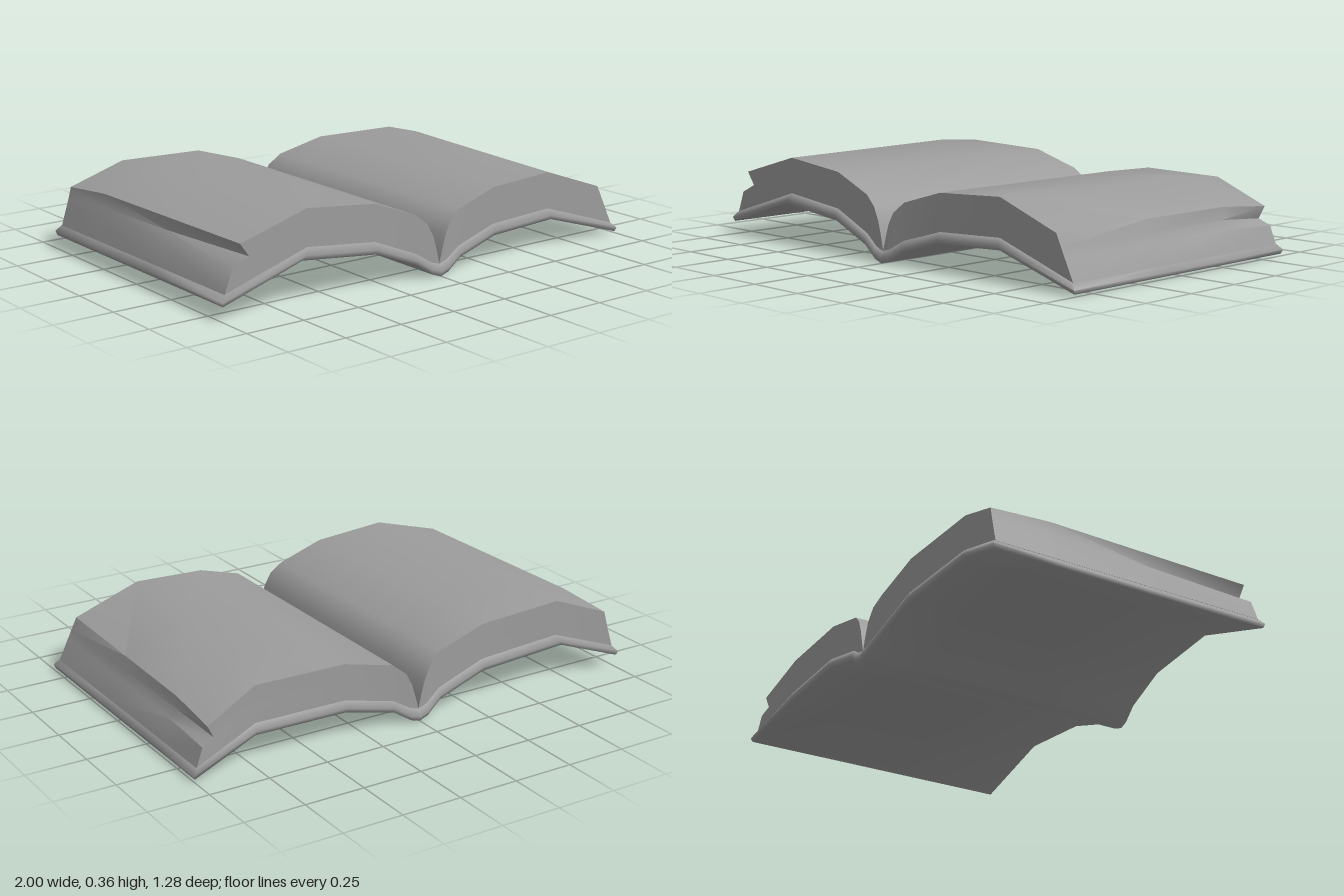
import * as THREE from 'three';
import { toCreasedNormals } from 'three/addons/utils/BufferGeometryUtils.js';

const lerp = THREE.MathUtils.lerp;

// piecewise-linear lookup through [x, value] pairs
function interp(pairs, x) {
  for (let i = 1; i < pairs.length; i++) {
    const [x0, y0] = pairs[i - 1], [x1, y1] = pairs[i];
    if (x <= x1) return lerp(y0, y1, (x - x0) / (x1 - x0));
  }
  return pairs[pairs.length - 1][1];
}

// slightly wavy front and back outlines of the open book
const FRONT = [[0, 0.638], [0.04, 0.635], [0.11, 0.624], [0.3, 0.612], [0.6, 0.6], [1, 0.6]];
const BACK = [[0, -0.64], [0.04, -0.637], [0.11, -0.62], [0.72, -0.597], [1, -0.638]];

// sections from front to back: middle depths, and how far the crest drifts and sinks at each
const MID_Z = [null, 0.1, -0.35, null];
const DRIFT = [0, 0.35, 0.7, 1];
const SINK = [0, 0, 0, 1];
const DRIFT_X = [[0, 0], [0.2, 0], [0.6, 0.1], [0.9, 0.03], [0.97, 0]];
const SINK_Y = [[0, 0], [0.2, 0], [0.6, 0.022], [0.92, 0.022], [0.96, 0]];

function place([x, y], section, inset) {
  const px = x + Math.sign(x) * interp(DRIFT_X, Math.abs(x)) * DRIFT[section];
  const py = y - interp(SINK_Y, Math.abs(x)) * SINK[section];
  let z = MID_Z[section];
  if (section === 0) z = interp(FRONT, Math.abs(px)) - inset;
  if (section === 3) z = interp(BACK, Math.abs(px)) + inset;
  return [px, py, z];
}

// solid made of stacked rows (top to bottom), each running from -x to +x.
// point(row, i, section) returns a position
function slab(rows, count, crease, point) {
  const pos = [], index = [], sections = MID_Z.length;
  for (let s = 0; s < sections; s++)
    for (let r = 0; r < rows; r++)
      for (let i = 0; i < count; i++) pos.push(...point(r, i, s));
  const id = (r, i, s) => (s * rows + r) * count + i;
  const quad = (a, b, c, d) => index.push(a, b, c, a, c, d);
  const R = rows - 1, N = count - 1, S = sections - 1;
  for (let s = 0; s < S; s++) {
    for (let i = 0; i < N; i++) { // top and underside
      quad(id(0, i, s), id(0, i + 1, s), id(0, i + 1, s + 1), id(0, i, s + 1));
      quad(id(R, i, s), id(R, i, s + 1), id(R, i + 1, s + 1), id(R, i + 1, s));
    }
    for (let r = 0; r < R; r++) { // long edges
      quad(id(r + 1, N, s), id(r + 1, N, s + 1), id(r, N, s + 1), id(r, N, s));
      quad(id(r + 1, 0, s), id(r, 0, s), id(r, 0, s + 1), id(r + 1, 0, s + 1));
    }
  }
  for (let r = 0; r < R; r++)
    for (let i = 0; i < N; i++) { // front and back ends
      quad(id(r + 1, i, 0), id(r + 1, i + 1, 0), id(r, i + 1, 0), id(r, i, 0));
      quad(id(r + 1, i, S), id(r, i, S), id(r, i + 1, S), id(r + 1, i + 1, S));
    }
  const g = new THREE.BufferGeometry();
  g.setAttribute('position', new THREE.Float32BufferAttribute(pos, 3));
  g.setIndex(index);
  return toCreasedNormals(g, crease);
}

// cover boards and spine, with a softly rounded rim
function coverGeometry() {
  const top = [[-0.975, 0.1], [-0.61, 0.213], [-0.3, 0.182], [-0.11, 0.105], [-0.04, 0.06], [0, 0.048],
    [0.04, 0.06], [0.11, 0.1], [0.3, 0.155], [0.61, 0.167], [0.975, 0.048]];
  const bottom = [[-0.995, 0.056], [-0.64, 0.168], [-0.3, 0.135], [-0.11, 0.06], [-0.04, 0.013], [0, 0],
    [0.04, 0.011], [0.11, 0.055], [0.3, 0.11], [0.62, 0.122], [0.995, 0.008]];
  const middle = top.map(([x, y], i) => [
    i === 0 ? -1 : i === top.length - 1 ? 1 : (x + bottom[i][0]) / 2,
    lerp(y, bottom[i][1], 0.6),
  ]);
  const rows = [top, middle, bottom], inset = [0.014, 0, 0.008];
  return slab(3, top.length, 1.9, (r, i, s) => place(rows[r][i], s, inset[r]));
}

// one half of the pages; profiles run from the gutter outward.
// notch: how deep the fore edge is pulled in at each section
function pagesGeometry(top, bottom, notch) {
  const side = Math.sign(top[top.length - 1][0]), last = top.length - 1;
  const heights = [0, 0.3, 0.5, 1];
  return slab(heights.length, top.length, 0.75, (r, i, s) => {
    const k = side > 0 ? i : last - i, t = heights[r];
    const p = [lerp(top[k][0], bottom[k][0], t), lerp(top[k][1], bottom[k][1], t)];
    if (k === last && r === 1) p[0] -= side * notch[s];
    return place(p, s, 0.018);
  });
}

export function createModel() {
  const book = new THREE.Group();
  book.name = 'openBook';
  const material = new THREE.MeshStandardMaterial({ color: 0x9c9c9c });
  const add = (name, geometry) => {
    const mesh = new THREE.Mesh(geometry, material);
    mesh.name = name;
    book.add(mesh);
  };

  add('cover', coverGeometry());

  // taller half at -x, its fore edge split toward the front
  add('rightPages', pagesGeometry(
    [[0, 0.05], [-0.014, 0.11], [-0.03, 0.165], [-0.06, 0.22], [-0.11, 0.26], [-0.3, 0.332], [-0.61, 0.362], [-0.91, 0.277]],
    [[0, 0.046], [-0.012, 0.048], [-0.025, 0.052], [-0.05, 0.064], [-0.11, 0.103], [-0.3, 0.18], [-0.61, 0.211], [-0.98, 0.097]],
    [0.06, 0.025, 0.008, 0]));

  // lower half at +x, its fore edge split toward the back
  add('leftPages', pagesGeometry(
    [[0, 0.05], [0.014, 0.1], [0.03, 0.155], [0.055, 0.205], [0.11, 0.25], [0.3, 0.306], [0.61, 0.32], [0.895, 0.218]],
    [[0, 0.046], [0.012, 0.048], [0.025, 0.052], [0.05, 0.064], [0.11, 0.098], [0.3, 0.153], [0.61, 0.165], [0.98, 0.045]],
    [0, 0.008, 0.025, 0.06]));

  return book;
}
